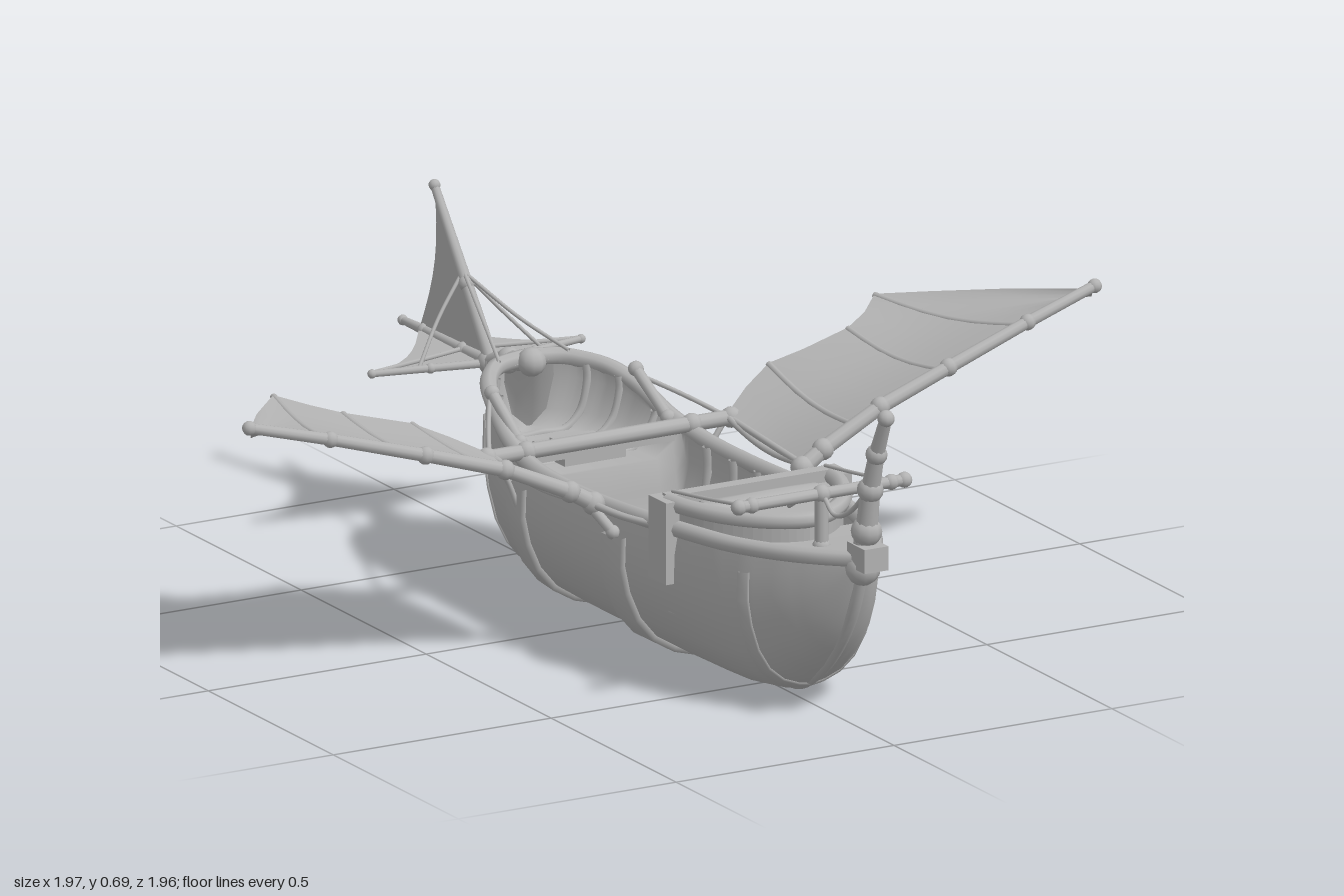
import * as THREE from 'three';

const grey = new THREE.MeshStandardMaterial({ color: 0xb2b2b2, side: THREE.DoubleSide });
grey.name = 'weathered grey';

const V = (x, y, z) => new THREE.Vector3(x, y, z);

// Linear lookup in a short table of [key, value], keys falling
function look(table, k) {
  if (k >= table[0][0]) return table[0][1];
  for (let i = 1; i < table.length; i++) {
    const [a, va] = table[i - 1], [b, vb] = table[i];
    if (k >= b) return va + (vb - va) * (a - k) / (a - b);
  }
  return table[table.length - 1][1];
}

// Hull lines along z: keel height, sheer height, half width, floor height
const KEEL = [[.88, .34], [.86, .28], [.83, .21], [.79, .145], [.74, .09], [.68, .04], [.62, .012], [.56, .005], [-.35, .005],
  [-.4, .03], [-.45, .075], [-.5, .14], [-.55, .22], [-.59, .29], [-.63, .345]];
const SHEER = [[.88, .35], [.66, .335], [.4, .325], [.2, .31], [0, .302], [-.15, .31], [-.25, .34], [-.34, .385], [-.46, .405], [-.55, .385], [-.63, .36]];
const WIDTH = [[.88, .012], [.84, .045], [.8, .073], [.74, .108], [.66, .145], [.58, .168], [.48, .186], [.35, .199], [.1, .205],
  [-.1, .2], [-.22, .186], [-.31, .168], [-.38, .143], [-.43, .11], [-.46, .075], [-.49, .045], [-.54, .025], [-.63, .014]];
const FLOOR = [[.42, .14], [-.145, .14], [-.155, .26], [-.46, .27]];
const SECTION = [[0, 0], [.2, .015], [.45, .06], [.68, .15], [.86, .29], [.98, .47], [1.04, .65], [1.03, .84], [.98, 1]];

// Full hull cross-section at z, from right sheer round the keel to left sheer
function hullRing(z, out = 0) {
  const k = look(KEEL, z), s = look(SHEER, z), w = look(WIDTH, z);
  const half = SECTION.map(([fx, fy]) => V(fx * (w + out), k + fy * (s - k) - out * (1 - fy), z));
  return [...half.slice(1).reverse().map(p => V(-p.x, p.y, z)), ...half];
}

// Inside walls and floor at z
function innerRing(z) {
  const s = look(SHEER, z), w = look(WIDTH, z), f = look(FLOOR, z);
  const half = [[0, f], [Math.max(0, w - .07), f], [Math.max(0, w - .035), f + .03], [w - .018, (f + s) / 2 + .03], [w - .02, s]].map(p => V(p[0], p[1], z));
  return [...half.slice(1).reverse().map(p => V(-p.x, p.y, z)), ...half];
}

// Surface through rows of points
function loft(rows) {
  const n = rows[0].length, idx = [];
  for (let i = 0; i < rows.length - 1; i++) for (let j = 0; j < n - 1; j++) {
    const a = i * n + j, b = a + n;
    idx.push(a, a + 1, b, a + 1, b + 1, b);
  }
  const g = new THREE.BufferGeometry().setFromPoints(rows.flat());
  g.setIndex(idx);
  g.computeVertexNormals();
  return g;
}

const range = (a, b, n) => Array.from({ length: n + 1 }, (_, i) => a + (b - a) * i / n);

export function createModel() {
  const model = new THREE.Group();
  model.name = 'wingedBoat';
  const add = (name, geo, parent = model) => {
    const m = new THREE.Mesh(geo, grey);
    m.name = name;
    parent.add(m);
    return m;
  };
  const box = (name, w, h, d, x, y, z, parent) => {
    const m = add(name, new THREE.BoxGeometry(w, h, d), parent);
    m.position.set(x, y, z);
    return m;
  };
  const tube = (name, pts, r, parent) =>
    add(name, new THREE.TubeGeometry(new THREE.CatmullRomCurve3(pts), pts.length * 6, r, 8), parent);
  // Jointed pole: tapered lengths with a knuckle at every point
  const pole = (name, pts, r0, r1, parent = model) => {
    const g = new THREE.Group();
    g.name = name;
    parent.add(g);
    pts.forEach((p, i) => {
      const rad = t => r0 + (r1 - r0) * t / (pts.length - 1);
      add('knuckle', new THREE.SphereGeometry(rad(i) * 1.35, 10, 8), g).position.copy(p);
      if (!i) return;
      const d = p.clone().sub(pts[i - 1]);
      const c = add('length', new THREE.CylinderGeometry(rad(i), rad(i - 1), d.length(), 10), g);
      c.position.copy(p).add(pts[i - 1]).multiplyScalar(.5);
      c.quaternion.setFromUnitVectors(V(0, 1, 0), d.normalize());
    });
  };

  // Hull, keel and inside
  add('hull', loft(range(.88, -.63, 76).map(z => hullRing(z))));
  add('inside', loft(range(.66, -.46, 112).map(innerRing)));
  add('bowDeck', loft(range(.87, .6, 10).map(z => [-1, 0, 1].map(s => V(s * look(WIDTH, z) * .95, look(SHEER, z) - .005, z)))));
  add('sternCap', loft(range(-.45, -.63, 8).map(z => [-1, 0, 1].map(s => V(s * look(WIDTH, z), look(SHEER, z), z)))));
  const keel = [.88, .83, .77, .7, .62, .5, .1, -.3, -.36, -.42, -.48, -.55, -.63].map(z => V(0, look(KEEL, z) + .012, z));
  tube('keel', keel, .015);

  // Raised bands round the hull
  for (const [z, h, t] of [[.66, .012, .005], [.25, .038, .012], [-.15, .036, .012], [-.38, .012, .005]]) {
    add('hullBand', loft([[z + h, 0], [z + h, t], [z - h, t], [z - h, 0]].map(([q, o]) => hullRing(q, o).slice(1, -1))));
  }

  // Ribs inside
  for (const z of [.34, .24, .14, .04, -.06]) tube('innerRib', innerRing(z), .012);
  for (const z of [-.24, -.34, -.41]) tube('sternRib', innerRing(z), .009);
  box('hatch', .14, .02, .13, 0, .275, -.26);
  box('hatchLid', .09, .02, .08, 0, .285, -.26);

  // Raised foredeck with rounded point
  const deck = new THREE.Shape();
  deck.moveTo(-.185, -.42);
  deck.bezierCurveTo(-.17, -.56, -.07, -.66, 0, -.665);
  deck.bezierCurveTo(.07, -.66, .17, -.56, .185, -.42);
  const deckGeo = new THREE.ExtrudeGeometry(deck, { depth: .22, bevelEnabled: false, curveSegments: 16 });
  deckGeo.rotateX(Math.PI / 2).scale(1, 1, -1);
  // the mirror in z turns the faces over, so restore their order
  const p = deckGeo.attributes.position;
  for (let i = 0; i < p.count; i += 3) {
    const b = V().fromBufferAttribute(p, i + 1), c = V().fromBufferAttribute(p, i + 2);
    p.setXYZ(i + 1, c.x, c.y, c.z);
    p.setXYZ(i + 2, b.x, b.y, b.z);
  }
  deckGeo.rotateY(Math.PI).scale(1, 1, 1);
  deckGeo.computeBoundingBox();
  if (deckGeo.boundingBox.max.z < 0) deckGeo.rotateY(Math.PI);
  deckGeo.translate(0, .365, 0);
  deckGeo.computeVertexNormals();
  add('foredeck', deckGeo);
  const bowRail = deck.getPoints(8).map(q => V(q.x, .375, -q.y));
  tube('foredeckRail', bowRail, .018);
  box('foredeckBeam', .38, .03, .03, 0, .375, .42);
  add('deckCover', loft(range(.43, .52, 4).map((z, i) => range(-.13, .13, 6).map(x =>
    V(x, .368 + .022 * Math.sin(Math.PI * i / 4) * (1 - x * x * 30), z + .02 * Math.cos(x * 11))))));

  // Rails and side fittings
  const railZ = [.87, .8, .72, .62, .5, .35, .2, .05, -.1, -.22, -.31, -.38, -.43, -.46];
  for (const s of [-1, 1]) {
    tube('rail', [...railZ.map(z => V(s * (look(WIDTH, z) - .005), look(SHEER, z), z)), V(0, .408, -.475)], .018);
    box('sideTab', .03, .17, .07, s * .198, .3, .425);
    pole('rearCleat', [V(s * .17, .33, -.2), V(s * .165, .4, -.32)], .012, .012);
    tube('crossbarRope', [V(s * .17, .44, .71), V(s * .172, .415, .56), V(s * .175, .395, .42)], .004);
  }
  pole('crossBeam', [-.28, -.19, .19, .28].map(x => V(x, .33, -.14)), .016, .016);
  box('sternBeam', .32, .03, .03, 0, .31, -.17);

  // Prow post, crossbar and ropes
  pole('prowPost', [V(0, .33, .875), V(0, .41, .89), V(0, .5, .905), V(0, .58, .93), V(0, .665, .968)], .027, .013);
  box('prowBlock', .055, .05, .07, 0, .36, .895);
  pole('crossbar', [-.19, -.16, 0, .16, .19].map(x => V(x, .44, .71)), .012, .012);
  pole('crossbarPost', [V(0, .33, .71), V(0, .44, .71)], .014, .014);
  tube('prowRope', [V(0, .5, .9), V(0, .43, .82), V(0, .41, .76), V(0, .44, .71), V(0, .425, .66), V(0, .38, .58)], .005);

  // Wings
  const spar = [[.24, .325, .215], [.29, .355, .21], [.43, .418, .195], [.6, .468, .172], [.8, .523, .14], [.97, .565, .112]];
  const rise = [[.97, .565], [.8, .523], [.6, .468], [.43, .418], [.29, .355], [.24, .325]];
  // [leading x, leading z, trailing x, trailing z]
  const strips = [[.25, .21, .27, -.14], [.3, .21, .34, -.185], [.37, .2, .41, -.215], [.45, .19, .48, -.197], [.59, .173, .58, -.195],
    [.69, .157, .635, -.225], [.79, .142, .69, -.28], [.85, .132, .765, -.18], [.91, .122, .855, -.06], [.965, .112, .965, .105]];
  for (const s of [-1, 1]) {
    const wing = new THREE.Group();
    wing.name = s > 0 ? 'leftWing' : 'rightWing';
    model.add(wing);
    const row = ([lx, lz, tx, tz], lift = 0) => range(0, 1, 6).map(v => {
      const x = lx + (tx - lx) * v;
      return V(s * x, look(rise, x) - .018 * Math.sin(Math.PI * v) - .006 * v + lift, lz + (tz - lz) * v);
    });
    add('wingMembrane', loft(strips.map(q => row(q))), wing);
    for (const i of [0, 2, 4, 6]) tube('wingRib', row(strips[i], -.003), .007, wing);
    pole('wingSpar', spar.map(q => V(s * q[0], q[1], q[2])), .018, .011, wing);
    pole('wingRootBar', [V(s * .275, .33, -.14), V(s * .25, .325, .215)], .007, .007, wing);
    pole('wingStrut', [V(s * .25, .325, .215), V(s * .215, .27, .25)], .011, .011, wing);
    tube('frontStay', [V(s * .245, .325, .22), V(s * .225, .32, .31), V(s * .195, .32, .4)], .008, wing);
    tube('rearStay', [V(s * .275, .33, -.14), V(s * .225, .36, -.23), V(s * .165, .39, -.33)], .005, wing);
    tube('lowerStay', [V(s * .28, .345, -.14), V(s * .235, .28, -.14), V(s * .21, .22, -.14)], .006, wing);
  }

  // Tail
  pole('tailBeam', [V(0, .405, -.45), V(0, .385, -.54), V(0, .36, -.62)], .022, .018);
  pole('tailBoom', [V(0, .36, -.6), V(0, .358, -.72), V(0, .357, -.88), V(0, .355, -.965)], .015, .008);
  pole('tailMast', [V(0, .35, -.6), V(0, .5, -.71), V(0, .67, -.838)], .016, .009);
  add('tailFin', loft(range(0, 1, 8).map(t => [
    V(0, .36 + .31 * t, -.61 - .228 * t), V(0, .362 + .308 * t, -.895 + .057 * t + .03 * Math.sin(Math.PI * t))])));
  for (const s of [-1, 1]) {
    add('tailPlane', loft(range(0, 1, 8).map(t => [
      V(s * .245 * t, .358, -.61 - .06 * t), V(s * .245 * t, .358, -.9 + .23 * t + .05 * Math.sin(Math.PI * t))])));
    pole('tailPlaneSpar', [V(0, .358, -.62), V(s * .12, .358, -.645), V(s * .24, .358, -.67)], .009, .007);
    tube('tailPlaneRib', [V(0, .362, -.72), V(s * .08, .362, -.7), V(s * .24, .36, -.67)], .005);
    tube('tailStay', [V(0, .52, -.725), V(s * .07, .44, -.7), V(s * .14, .36, -.655)], .004);
    tube('tailRope', [V(s * .08, .42, -.44), V(s * .04, .46, -.57), V(0, .52, -.72)], .004);
  }
  return model;
}
